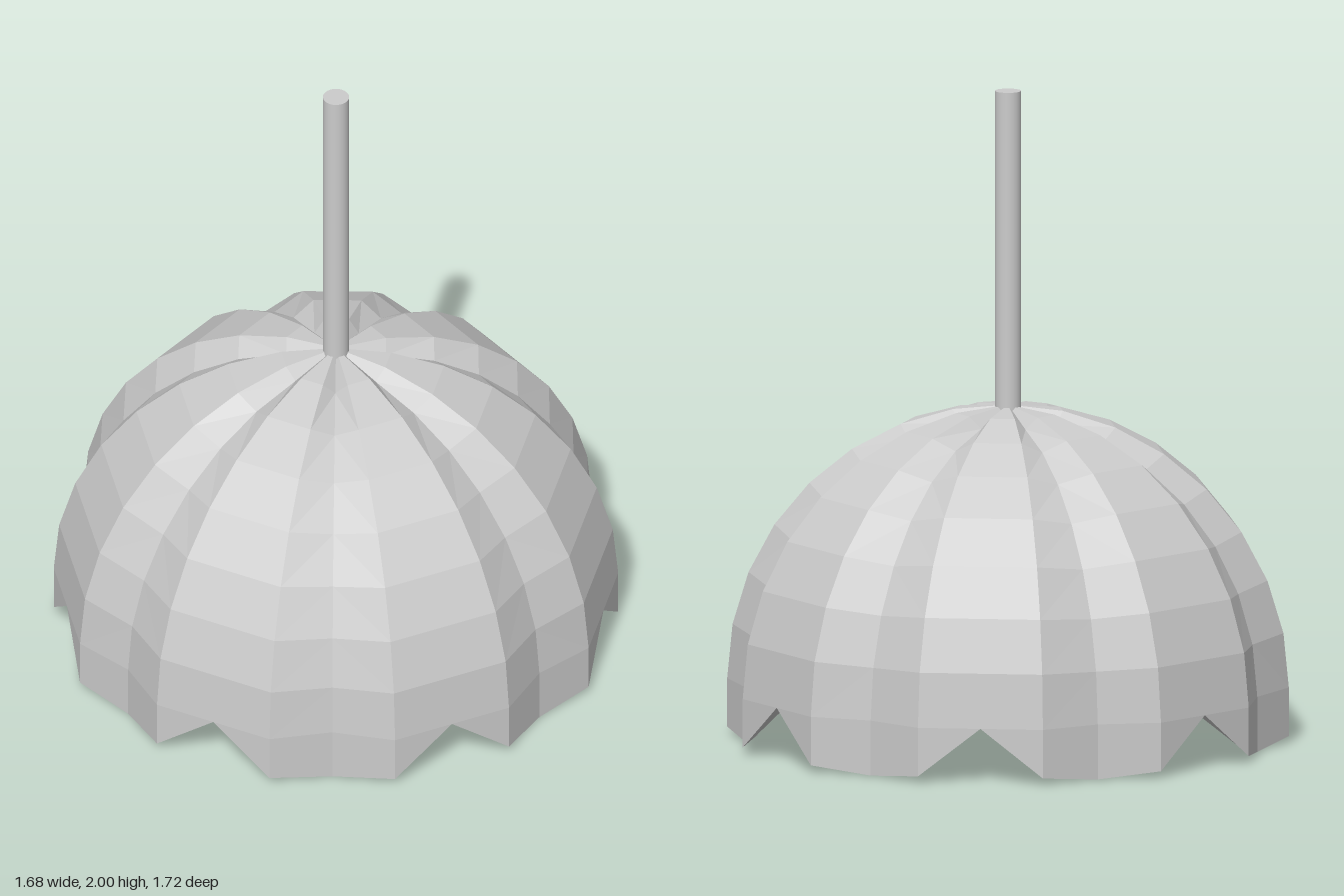
import * as THREE from 'three';

const SIDES = 28;      // four columns per scallop: notch, ridge, groove, ridge
const ROWS = 8;        // rows from the equator to the crown
const RADIUS = 0.86;
const EQUATOR = 0.17;  // height of the dome's centre
const WALL = 0.033;

// Radius of each column: ridges are full, notch columns lie on the chord, grooves are dented
function columnRadius(i) {
  if (i % 2 === 1) return { full: RADIUS, dent: 0 };
  const chord = RADIUS * Math.cos((2 * Math.PI) / SIDES);
  return { full: chord, dent: i % 4 === 2 ? 0.037 : 0 };
}

// Point of the dome; row -1 is the scalloped hem, inset moves it to the inner skin
function domePoint(i, row, inset) {
  const a = (i / SIDES) * Math.PI * 2;
  const { full, dent } = columnRadius(i % SIDES);
  const lat = (Math.max(row, 0) / ROWS) * Math.PI / 2;
  const shift = row === ROWS ? inset : dent + inset;
  const r = Math.cos(lat) * (full - shift);
  let y = EQUATOR + Math.sin(lat) * (RADIUS - shift);
  if (row < 0 && i % 4 !== 0) y = (i % 4 === 2 ? 0 : 0.02) + (inset > 0 ? 0.025 : 0);
  return [r * Math.cos(a), y, r * Math.sin(a)];
}

// Closed shell: down the inner skin, across the hem, up the outer skin
function shadeGeometry() {
  const path = [];
  for (let row = ROWS; row >= -1; row--) path.push([row, WALL]);
  for (let row = -1; row <= ROWS; row++) path.push([row, 0]);
  const pos = [], index = [];
  for (const [row, inset] of path)
    for (let i = 0; i <= SIDES; i++) pos.push(...domePoint(i, row, inset));
  const n = SIDES + 1;
  for (let j = 0; j < path.length - 1; j++)
    for (let i = 0; i < SIDES; i++) {
      const a = j * n + i, b = a + n;
      // mirror the diagonal on either side of each ridge
      if (i % 2) index.push(a, b, b + 1, a, b + 1, a + 1);
      else index.push(a, b, a + 1, b, b + 1, a + 1);
    }
  const g = new THREE.BufferGeometry();
  g.setAttribute('position', new THREE.Float32BufferAttribute(pos, 3));
  g.setIndex(index);
  const flat = g.toNonIndexed();
  flat.computeVertexNormals();
  return flat;
}

export function createModel() {
  const group = new THREE.Group();
  group.name = 'pendantLamp';
  const smooth = new THREE.MeshStandardMaterial({ color: 0xcccccc });
  const faceted = new THREE.MeshStandardMaterial({ color: 0xcccccc, flatShading: true });

  function add(name, geometry, material, y = 0) {
    const mesh = new THREE.Mesh(geometry, material);
    mesh.name = name;
    mesh.position.y = y;
    group.add(mesh);
  }

  // Scalloped, ribbed dome
  add('shade', shadeGeometry(), faceted);

  // Hanging rod, running through the crown down to the bulb
  const rodBottom = 0.7;
  add('rod', new THREE.CylinderGeometry(0.04, 0.04, 2 - rodBottom, 32), smooth, (2 + rodBottom) / 2);

  // Bulb under the dome
  add('bulb', new THREE.SphereGeometry(0.145, 32, 16), faceted, 0.59);

  return group;
}
